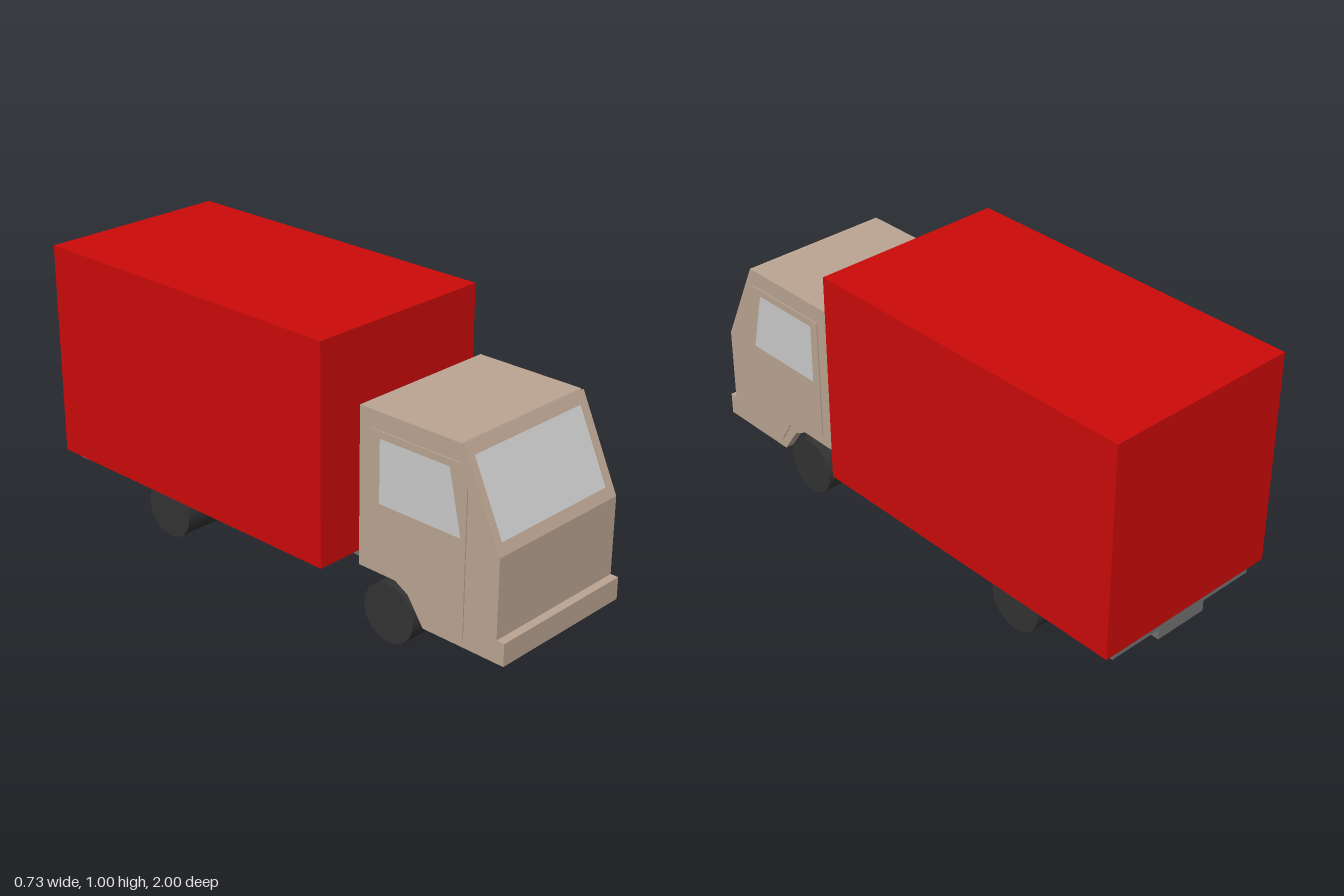
import * as THREE from 'three';

const mat = (name, color) => Object.assign(new THREE.MeshStandardMaterial({ color }), { name });

export function createModel() {
  const truck = new THREE.Group();
  truck.name = 'boxTruck';
  const red = mat('cargo red', 0xcc0a0a);
  const tan = mat('cab tan', 0xbba592);
  const glass = mat('window grey', 0xcccccc);
  const grey = mat('chassis grey', 0x737373);
  const rubber = mat('tyre black', 0x333333);

  const add = (name, geo, material, parent = truck) => {
    const mesh = new THREE.Mesh(geo, material);
    mesh.name = name;
    parent.add(mesh);
    return mesh;
  };
  // Box from its min and max on each axis
  const box = (name, material, [x0, x1], [y0, y1], [z0, z1]) =>
    add(name, new THREE.BoxGeometry(x1 - x0, y1 - y0, z1 - z0), material)
      .position.set((x0 + x1) / 2, (y0 + y1) / 2, (z0 + z1) / 2);
  const shapeOf = (pts, hole) => {
    const s = new THREE.Shape(pts.map(p => new THREE.Vector2(...p)));
    if (hole) s.holes.push(new THREE.Path(hole.map(p => new THREE.Vector2(...p))));
    return s;
  };
  // Side profile given as (z, y), extruded across x from x0 to x1
  const slab = (name, material, pts, x0, x1, hole) => {
    const geo = new THREE.ExtrudeGeometry(shapeOf(pts, hole), { depth: x1 - x0, bevelEnabled: false });
    geo.rotateY(-Math.PI / 2).translate(x1, 0, 0);
    return add(name, geo, material);
  };

  // Cargo box and chassis
  box('cargoBox', red, [-0.365, 0.365], [0.211, 0.996], [-1, 0.305]);
  box('cargoBed', grey, [-0.315, 0.315], [0.207, 0.215], [-0.98, 0.3]);
  box('chassisBeam', grey, [-0.105, 0.105], [0.13, 0.212], [-0.98, 0.63]);
  box('rearBumper', grey, [-0.315, 0.315], [0.17, 0.21], [-0.98, -0.945]);

  // Cab body, set back behind the windscreen frame
  const W = 0.288;
  slab('cabBody', tan, [[0.4, 0.235], [0.4, 0.792], [0.809, 0.792], [0.959, 0.47], [0.97, 0.47], [0.97, 0.235]], -W, W);
  // Front apron with bumper step, open underneath
  slab('frontApron', tan, [[0.95, 0.11], [0.95, 0.24], [0.97, 0.24], [0.97, 0.19], [1, 0.19], [1, 0.11]], -W, W);

  // Windscreen on the sloping face
  const screen = new THREE.Group();
  screen.name = 'windscreen';
  screen.position.set(0, 0.47, 0.97);
  screen.rotation.x = -Math.atan2(0.15, 0.322);
  truck.add(screen);
  const len = Math.hypot(0.15, 0.322);
  const rect = (w, a, b) => [[-w, a], [w, a], [w, b], [-w, b]];
  const pane = rect(0.26, 0.039, 0.314);
  add('windscreenFrame', new THREE.ExtrudeGeometry(shapeOf(rect(W, 0, len), pane), { depth: 0.012, bevelEnabled: false })
    .translate(0, 0, -0.012), tan, screen);
  add('windscreenGlass', new THREE.ShapeGeometry(shapeOf(pane)).translate(0, 0, -0.007), glass, screen);

  // Skirts, doors and side windows on both sides
  const skirt = [[0.555, 0.24], [0.555, 0.235], [0.61, 0.205], [0.675, 0.11], [0.951, 0.11], [0.951, 0.24]];
  const door = [[0.45, 0.27], [0.45, 0.73], [0.81, 0.73], [0.84, 0.66], [0.84, 0.14], [0.69, 0.14], [0.635, 0.23], [0.57, 0.27]];
  const sideWindow = [[0.485, 0.48], [0.485, 0.705], [0.77, 0.705], [0.82, 0.48]];
  for (const [side, s] of [['left', 1], ['right', -1]]) {
    const span = (a, b) => (s > 0 ? [a, b] : [-b, -a]);
    slab(side + 'Skirt', tan, skirt, ...span(0.255, W));
    slab(side + 'Door', tan, door, ...span(W - 0.004, W + 0.004), sideWindow);
    slab(side + 'Window', glass, sideWindow, ...span(W - 0.004, W + 0.001));
    // Single front wheels, wide rear wheels
    for (const [name, z, inner] of [['FrontWheel', 0.53, 0.185], ['RearWheel', -0.525, 0.105]]) {
      const wheel = new THREE.CylinderGeometry(0.105, 0.105, W - inner, 36).rotateZ(Math.PI / 2);
      add(side + name, wheel, rubber).position.set(s * (W + inner) / 2, 0.105, z);
    }
  }
  return truck;
}
